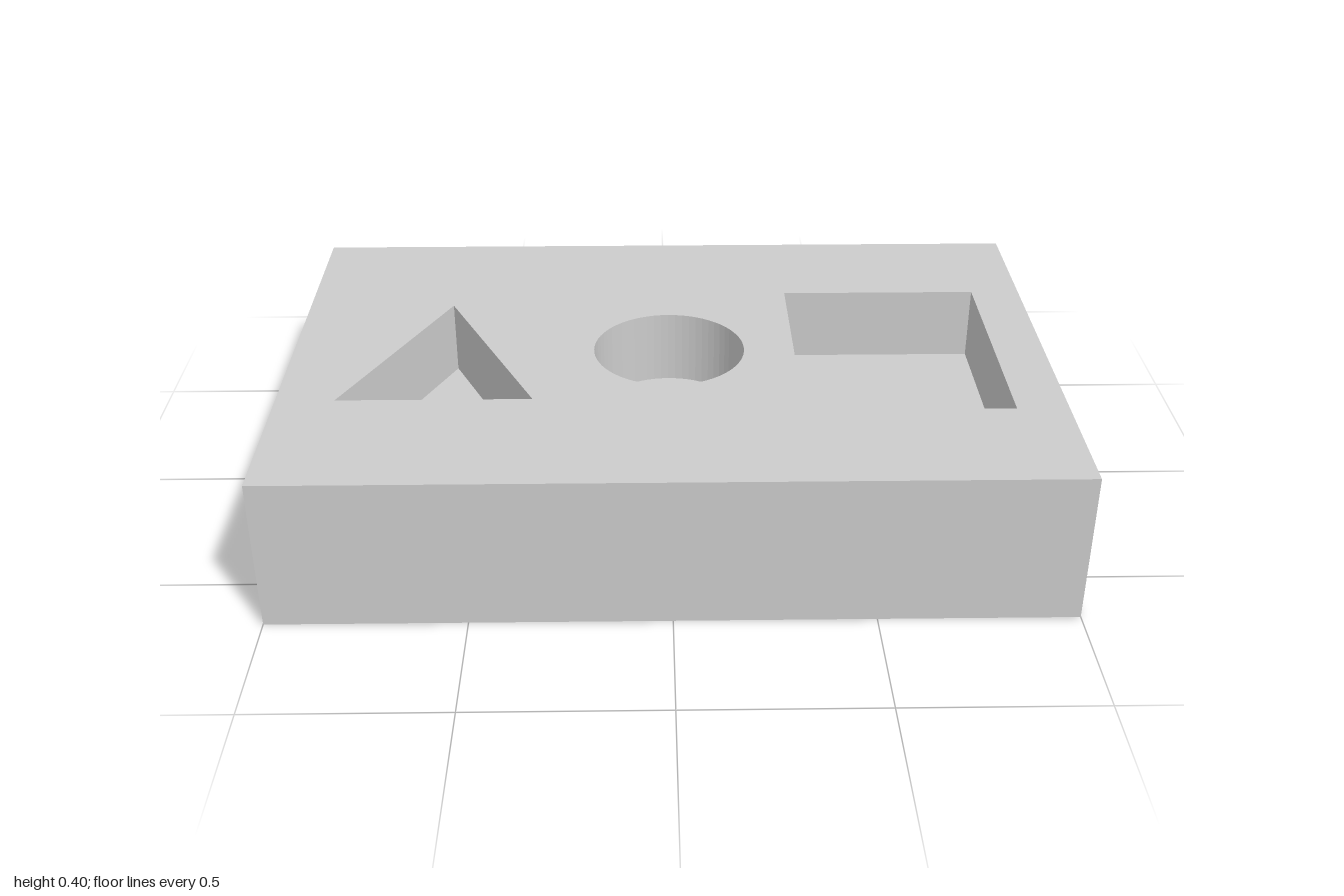
import * as THREE from 'three';

const HEIGHT = 0.4, FLOOR = 0.2, HALF_X = 1, HALF_Z = 2 / 3;
const material = new THREE.MeshStandardMaterial({ color: 0xcccccc, flatShading: true });

// Outlines are drawn in plan, with shape y pointing to the back (-z), counter-clockwise
const outline = (...points) => points.map(([x, y]) => new THREE.Vector2(x, y));
const rectangle = (x0, x1, y) => outline([x0, -y], [x1, -y], [x1, y], [x0, y]);
const circle = (radius, sides) => Array.from({ length: sides }, (_, i) => {
  const a = (i / sides) * Math.PI * 2;
  return new THREE.Vector2(radius * Math.cos(a), radius * Math.sin(a));
});

// Flat face lying at a given height, facing up
function flatFace(shape, y) {
  return new THREE.ShapeGeometry(shape).rotateX(-Math.PI / 2).translate(0, y, 0);
}

// Vertical walls along an outline: counter-clockwise faces out, clockwise faces in
function walls(points, y0, y1) {
  const position = [];
  points.forEach((a, i) => {
    const b = points[(i + 1) % points.length];
    position.push(a.x, y0, -a.y, b.x, y0, -b.y, b.x, y1, -b.y);
    position.push(a.x, y0, -a.y, b.x, y1, -b.y, a.x, y1, -a.y);
  });
  const geometry = new THREE.BufferGeometry();
  geometry.setAttribute('position', new THREE.Float32BufferAttribute(position, 3));
  geometry.computeVertexNormals();
  return geometry;
}

function addMesh(parent, name, geometry) {
  const mesh = new THREE.Mesh(geometry, material);
  mesh.name = name;
  parent.add(mesh);
}

export function createModel() {
  const model = new THREE.Group();
  model.name = 'shapeSorterBlock';

  const pockets = {
    triangle: outline([-0.85, -0.267], [-0.35, -0.267], [-0.6, 0.267]),
    circle: circle(0.2, 64),
    rectangle: rectangle(0.333, 0.867, 0.333),
  };

  // Block: top with three openings, outer sides and closed underside
  const edge = rectangle(-HALF_X, HALF_X, HALF_Z);
  const top = new THREE.Shape(edge);
  top.holes = Object.values(pockets).map((points) => new THREE.Path(points));
  const block = new THREE.Group();
  block.name = 'block';
  addMesh(block, 'topFace', flatFace(top, HEIGHT));
  addMesh(block, 'outerSides', walls(edge, 0, HEIGHT));
  addMesh(block, 'underside', new THREE.ShapeGeometry(new THREE.Shape(edge)).rotateX(Math.PI / 2));
  model.add(block);

  // Blind pockets: inward-facing walls and a floor halfway down
  for (const [name, points] of Object.entries(pockets)) {
    const pocket = new THREE.Group();
    pocket.name = `${name}Pocket`;
    addMesh(pocket, `${name}Walls`, walls([...points].reverse(), FLOOR, HEIGHT));
    addMesh(pocket, `${name}Floor`, flatFace(new THREE.Shape(points), FLOOR));
    model.add(pocket);
  }
  return model;
}
